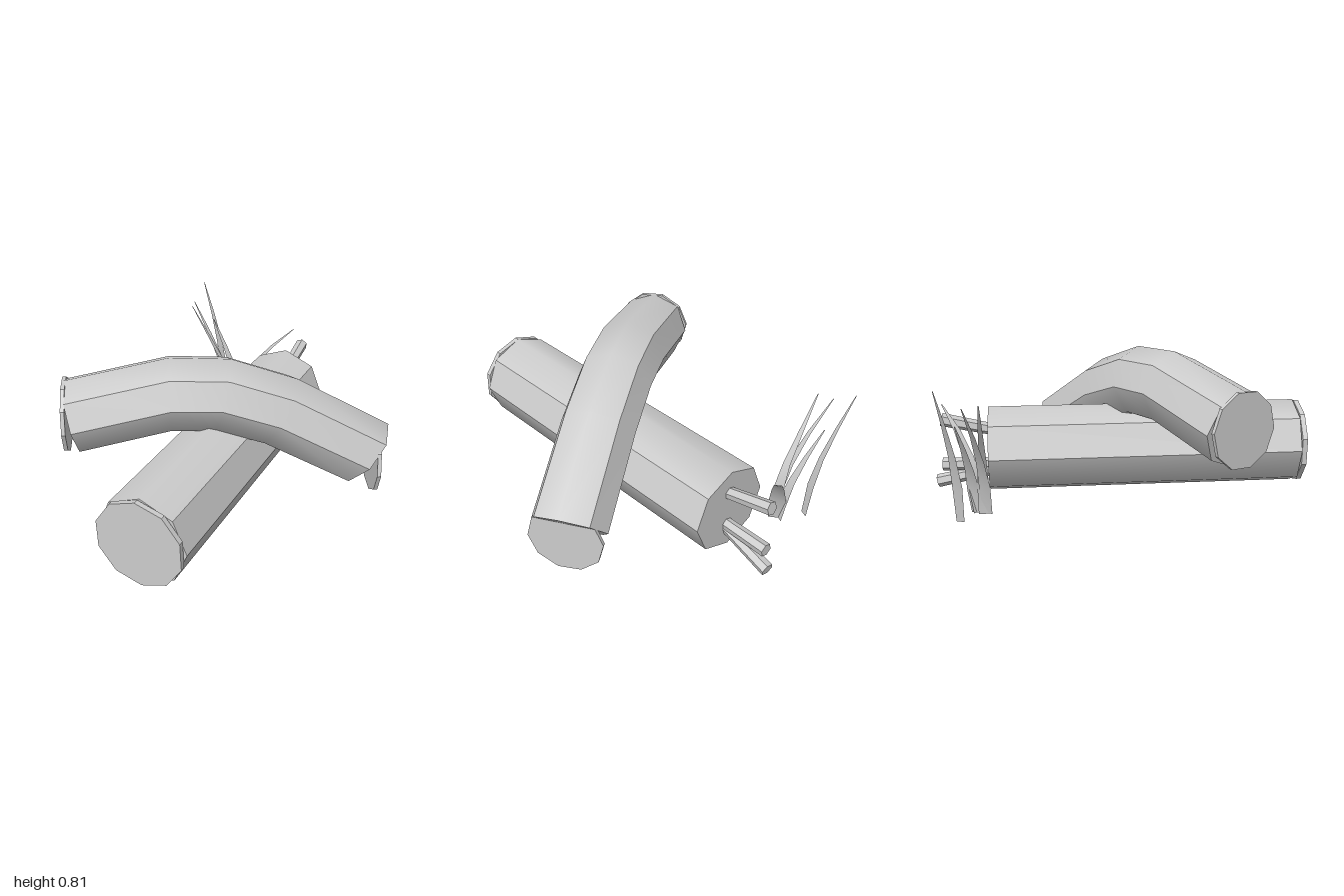
import * as THREE from 'three';

const V = (x, y, z) => new THREE.Vector3(x, y, z);
const UP = V(0, 1, 0);

// Eight-sided log lofted through stations [centre, tilt of the ring];
// bands are runs of facets that shade smoothly, with sharp edges between them.
function logGeometry(stations, radius, heading) {
  const side = heading.clone().cross(UP);
  const point = ([c, tilt], k) => {
    const a = k * Math.PI / 4;
    const up = UP.clone().multiplyScalar(Math.cos(tilt)).addScaledVector(heading, Math.sin(tilt));
    return c.clone().addScaledVector(up, radius * Math.cos(a)).addScaledVector(side, radius * Math.sin(a));
  };
  const pos = [], index = [];
  for (const [from, to] of [[-1, 1], [1, 2], [2, 4], [4, 6], [6, 7]]) {
    const base = pos.length / 3, n = to - from + 1;
    stations.forEach((s, i) => {
      for (let k = from; k <= to; k++) {
        pos.push(...point(s, k).toArray());
        if (i > 0 && k > from) {
          const c = base + i * n + k - from, e = c - 1, b = c - n, a = b - 1;
          index.push(a, b, c, a, c, e);
        }
      }
    });
  }
  // flat end faces
  [stations[0], stations[stations.length - 1]].forEach((s, end) => {
    const base = pos.length / 3;
    for (let k = 0; k < 8; k++) pos.push(...point(s, k).toArray());
    for (let k = 1; k < 7; k++) index.push(base, ...(end ? [base + k, base + k + 1] : [base + k + 1, base + k]));
  });
  const g = new THREE.BufferGeometry();
  g.setAttribute('position', new THREE.Float32BufferAttribute(pos, 3));
  g.setIndex(index);
  g.computeVertexNormals();
  return g;
}

// Tapering ribbon that follows a few points and ends in a tip.
function bladeGeometry(points, width) {
  const path = new THREE.CatmullRomCurve3(points);
  const lean = points[points.length - 1].clone().sub(points[0]).setY(0).normalize();
  const across = lean.clone().cross(UP);
  const pos = [], index = [];
  const widths = [0.8, 1, 0.7, 0.42, 0.08];
  widths.forEach((w, i) => {
    const c = path.getPoint(i / (widths.length - 1));
    for (const s of [-1, 1]) pos.push(...c.clone().addScaledVector(across, s * w * width / 2).toArray());
    if (i > 0) {
      const b = i * 2;
      index.push(b - 2, b - 1, b + 1, b - 2, b + 1, b);
    }
  });
  const g = new THREE.BufferGeometry();
  g.setAttribute('position', new THREE.Float32BufferAttribute(pos, 3));
  g.setIndex(index);
  g.computeVertexNormals();
  return g;
}

export function createModel() {
  const model = new THREE.Group();
  model.name = 'crossedLogs';
  const grey = new THREE.MeshStandardMaterial({ color: 0xcccccc, side: THREE.DoubleSide });
  grey.name = 'grey';

  const add = (name, geometry) => {
    const mesh = new THREE.Mesh(geometry, grey);
    mesh.name = name;
    model.add(mesh);
    return mesh;
  };
  // Straight cylinder between two points, with flat facets
  const rod = (name, a, b, r0, r1, sides) => {
    const d = b.clone().sub(a);
    const g = new THREE.CylinderGeometry(r1, r0, d.length(), sides).toNonIndexed();
    g.computeVertexNormals();
    const mesh = add(name, g);
    mesh.position.copy(a).add(b).multiplyScalar(0.5);
    mesh.quaternion.setFromUnitVectors(UP, d.normalize());
  };

  // Straight log on the ground
  const a = V(-0.89, 0.245, 0.44), b = V(0.70, 0.245, -0.14);
  const straight = b.clone().sub(a).normalize();
  add('straightLog', logGeometry([[a, 0], [b, 0]], 0.236, straight));
  rod('straightLogEndCap', a.clone().addScaledVector(straight, -0.032),
    a.clone().addScaledVector(straight, -0.005), 0.232, 0.232, 10);

  // Bent log arching over it
  const heading = V(0.765, 0, 0.644).normalize();
  const onLine = (x, y) => V(x, y, 0.842 * x + 0.224);
  add('bentLog', logGeometry([
    [onLine(-0.68, 0.50), -0.21],
    [onLine(-0.30, 0.61), 0],
    [onLine(-0.10, 0.60), 0.24],
    [onLine(0.12, 0.50), 0.55],
    [onLine(0.48, 0.235), 0.70],
  ], 0.2, heading));
  for (const [name, x, y] of [['bentLogFrontCap', 0.522, 0.2], ['bentLogBackCap', -0.708, 0.505]]) {
    const c = onLine(x, y);
    rod(name, c.clone().addScaledVector(heading, -0.01), c.clone().addScaledVector(heading, 0.01), 0.197, 0.197, 10);
  }

  // Broken twigs on the end of the straight log
  for (const [p, q] of [
    [V(0.66, 0.345, -0.115), V(0.94, 0.415, -0.225)],
    [V(0.66, 0.155, -0.11), V(0.95, 0.155, -0.21)],
    [V(0.66, 0.13, -0.12), V(0.985, 0.055, -0.205)],
  ]) rod('twig', p, q, 0.032, 0.036, 6);

  // Grass behind the straight log
  for (const [width, ...points] of [
    [0.06, V(0.60, 0, -0.49), V(0.59, 0.2, -0.50), V(0.55, 0.40, -0.60), V(0.495, 0.64, -0.74)],
    [0.06, V(0.58, 0, -0.48), V(0.58, 0.2, -0.52), V(0.57, 0.40, -0.62), V(0.56, 0.635, -0.79)],
    [0.055, V(0.67, 0, -0.62), V(0.67, 0.25, -0.65), V(0.675, 0.47, -0.72), V(0.68, 0.72, -0.83)],
    [0.09, V(0.63, 0, -0.465), V(0.66, 0.18, -0.45), V(0.76, 0.36, -0.37), V(0.91, 0.51, -0.27)],
    [0.07, V(0.64, 0, -0.48), V(0.65, 0.16, -0.50), V(0.645, 0.33, -0.58), V(0.64, 0.52, -0.70)],
  ]) add('grassBlade', bladeGeometry(points, width));

  return model;
}
